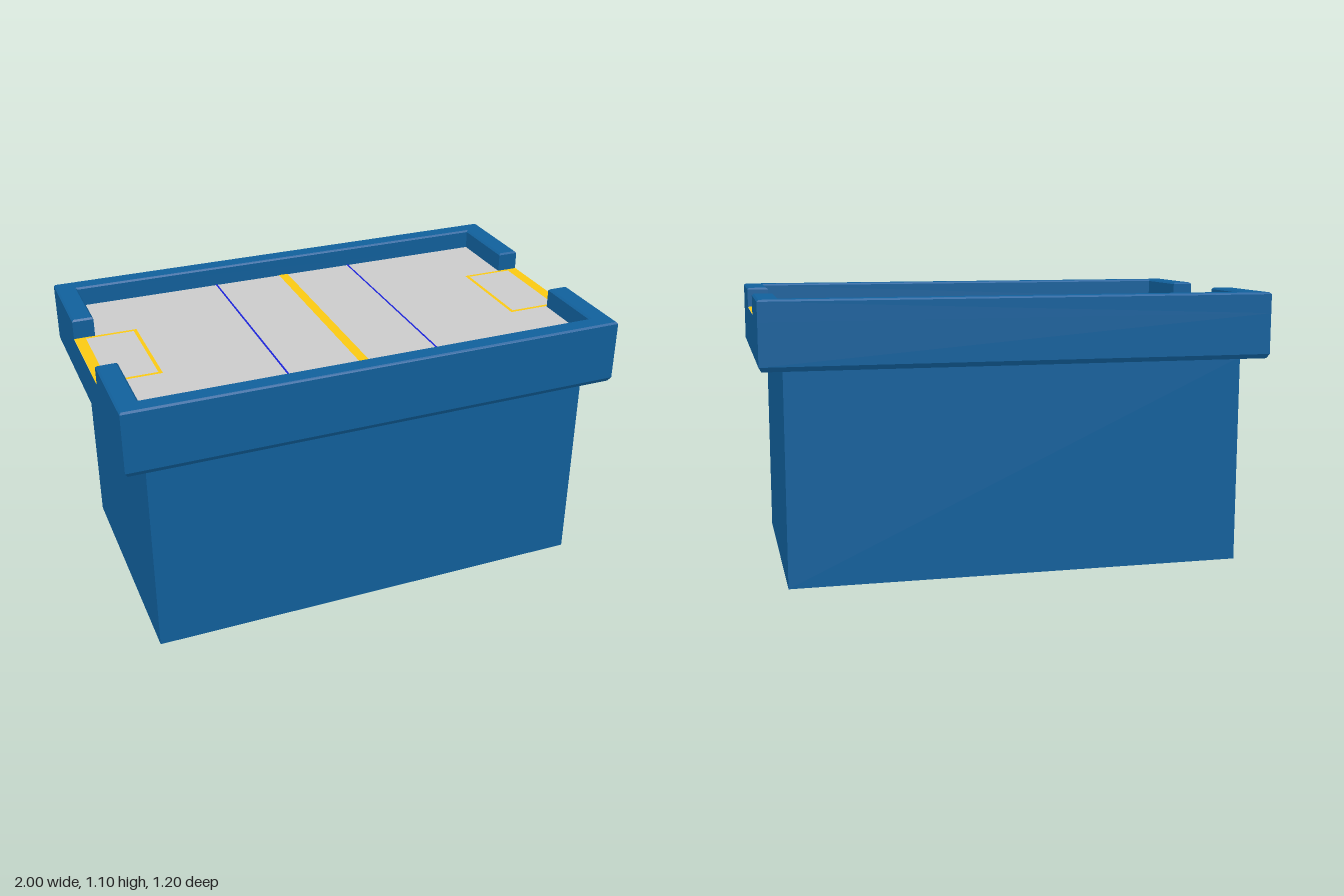
import * as THREE from 'three';

const mat = (color) => new THREE.MeshStandardMaterial({ color });
const BLUE = mat(0x11609c), GREY = mat(0xcccccc), YELLOW = mat(0xfac912), LINE = mat(0x1a22d8);
const DECK = 1.018; // height of the playing surface

export function createModel() {
  const model = new THREE.Group();

  function add(name, geometry, material, x = 0, y = 0, z = 0) {
    const mesh = new THREE.Mesh(geometry, material);
    mesh.name = name;
    mesh.position.set(x, y, z);
    model.add(mesh);
    return mesh;
  }

  // Flat rectangle facing up, given by its x and z limits
  function patch(name, x0, x1, z0, z1, y, material) {
    const g = new THREE.PlaneGeometry(Math.abs(x1 - x0), z1 - z0).rotateX(-Math.PI / 2);
    return add(name, g, material, (x0 + x1) / 2, y, (z0 + z1) / 2);
  }

  // Base block with a plain grey underside (box face order: +x -x +y -y +z -z)
  add('base', new THREE.BoxGeometry(1.82, 0.838, 1.04),
    [BLUE, BLUE, BLUE, GREY, BLUE, BLUE], 0, 0.419, 0);

  // Table body, with a narrow chamfer round its lower edge
  const bottom = 0.838, chamferTop = 0.856;
  add('tableBody', new THREE.BoxGeometry(2, DECK - chamferTop, 1.2), BLUE, 0, (DECK + chamferTop) / 2, 0);
  const chamfer = new THREE.BoxGeometry(2, chamferTop - bottom, 1.2);
  const p = chamfer.attributes.position;
  for (let i = 0; i < p.count; i++) {
    if (p.getY(i) < 0) {
      p.setX(i, p.getX(i) - 0.01 * Math.sign(p.getX(i)));
      p.setZ(i, p.getZ(i) - 0.01 * Math.sign(p.getZ(i)));
    }
  }
  chamfer.computeVertexNormals();
  add('lowerChamfer', chamfer, BLUE, 0, (bottom + chamferTop) / 2, 0);

  // Two C-shaped rails, leaving an opening at each end
  const b = 0.007;
  const outline = [[-1, 0.21], [-0.915, 0.21], [-0.915, 0.525], [0.915, 0.525],
    [0.915, 0.21], [1, 0.21], [1, 0.6], [-1, 0.6]].map(([x, y]) => new THREE.Vector2(x, y));
  const rail = new THREE.ExtrudeGeometry(new THREE.Shape(outline), {
    depth: 1.1 - b - DECK, bevelEnabled: true, bevelSegments: 1,
    bevelSize: b, bevelThickness: b, bevelOffset: -b,
  }).rotateX(-Math.PI / 2);
  add('backRail', rail, BLUE, 0, DECK, 0);
  add('frontRail', rail, BLUE, 0, DECK, 0).rotation.y = Math.PI;

  // Playing surface and markings
  const surfaceY = DECK + 0.001, markY = DECK + 0.003;
  patch('playingSurface', -0.915, 0.915, -0.525, 0.525, surfaceY, GREY);
  patch('centreLine', -0.02, 0.02, -0.525, 0.525, markY, YELLOW);
  for (const s of [1, -1]) {
    const side = s > 0 ? 'left' : 'right';
    patch(side + 'GoalFloor', s * 0.915, s * 1, -0.21, 0.21, surfaceY, GREY);
    patch(side + 'ZoneLine', s * 0.306, s * 0.314, -0.525, 0.525, markY, LINE);
    patch(side + 'GoalBand', s * 0.955, s * 1, -0.208, 0.208, markY, YELLOW);
    patch(side + 'GoalBoxEnd', s * 0.747, s * 0.761, -0.208, 0.208, markY, YELLOW);
    for (const t of [1, -1]) {
      patch(side + 'GoalBox' + (t > 0 ? 'Front' : 'Back'),
        s * 0.761, s * 0.955, t * 0.201 - 0.007, t * 0.201 + 0.007, markY, YELLOW);
    }
  }
  return model;
}
